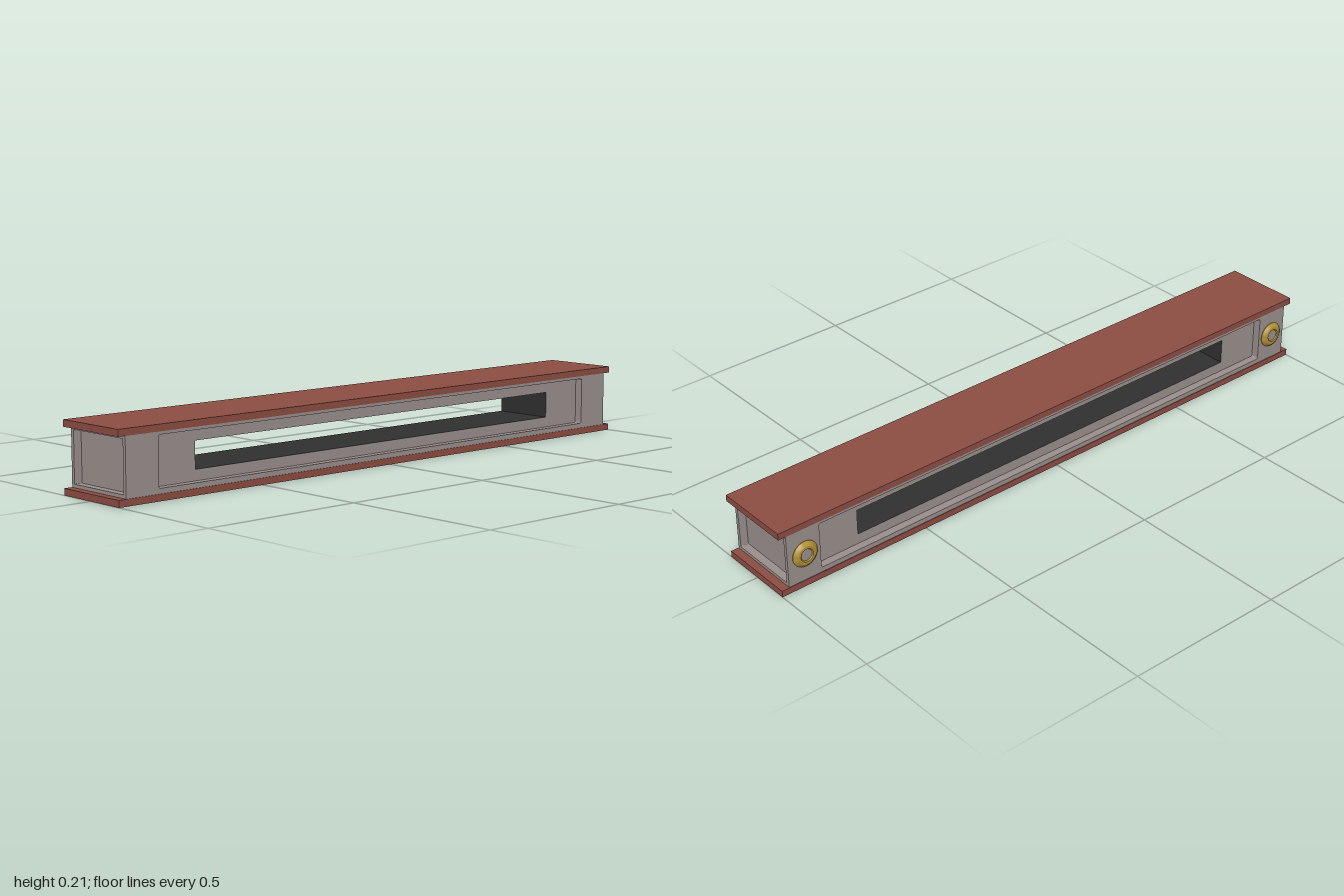
import * as THREE from 'three';
import { toCreasedNormals } from 'three/addons/utils/BufferGeometryUtils.js';

const mat = (name, color) => new THREE.MeshStandardMaterial({ name, color });

// Rectangle path with optionally rounded corners
function rect(path, x0, x1, y0, y1, r = 0) {
  if (!r) {
    path.moveTo(x0, y0).lineTo(x1, y0).lineTo(x1, y1).lineTo(x0, y1).closePath();
    return path;
  }
  path.moveTo(x0 + r, y0).lineTo(x1 - r, y0).quadraticCurveTo(x1, y0, x1, y0 + r);
  path.lineTo(x1, y1 - r).quadraticCurveTo(x1, y1, x1 - r, y1);
  path.lineTo(x0 + r, y1).quadraticCurveTo(x0, y1, x0, y1 - r);
  path.lineTo(x0, y0 + r).quadraticCurveTo(x0, y0, x0 + r, y0);
  return path;
}

// Flat frame: outer rectangle with a rectangular opening, from depth a to b
function frame(outer, hole, a, b, r = 0) {
  const shape = rect(new THREE.Shape(), ...outer);
  shape.holes.push(rect(new THREE.Path(), ...hole, r));
  const geo = new THREE.ExtrudeGeometry(shape, { depth: b - a, bevelEnabled: false, curveSegments: 4 });
  return geo.translate(0, 0, a);
}

export function createModel() {
  const group = new THREE.Group();
  const red = mat('red paint', 0x8b4c42);
  const grey = mat('warm grey', 0x988e8b);
  const dark = mat('dark lining', 0x2f2f2f);
  const brass = mat('brass', 0xb08f35);

  const add = (name, geo, material) => {
    const mesh = new THREE.Mesh(geo, material);
    mesh.name = name;
    group.add(mesh);
    return mesh;
  };

  const x0 = -0.118, x1 = 0.126, y0 = 0.02, y1 = 0.19;
  const inset = 0.025, bodyZ = 0.975, coreZ = bodyZ - inset;

  // Top and bottom boards
  for (const [name, y] of [['bottomBoard', 0.01], ['topBoard', 0.2]]) {
    add(name, new THREE.BoxGeometry(0.248, 0.02, 2).translate(0.004, y, 0), red);
  }

  // Core with the long slot running right through, lined in a dark colour
  const slot = [-0.72, 0.72, 0.067, 0.147];
  const cut = [-0.722, 0.722, 0.065, 0.149];
  const inner = [x0 + inset, x1 - inset];
  add('core', frame([-coreZ, coreZ, y0, y1], cut, ...inner).rotateY(Math.PI / 2), grey);
  add('slotLining', frame(cut, slot, ...inner).rotateY(Math.PI / 2), [grey, dark]);

  // Raised frames on the two long sides
  const sideHole = [-0.865, 0.865, 0.035, 0.181];
  for (const [name, a, b] of [['rightFrame', x0, inner[0]], ['leftFrame', inner[1], x1]]) {
    add(name, frame([-coreZ, coreZ, y0, y1], sideHole, a, b, 0.006).rotateY(Math.PI / 2), grey);
  }

  // Raised frames on the two ends
  const endHole = [-0.107, 0.115, 0.03, 0.181];
  for (const [name, a, b] of [['frontFrame', coreZ, bodyZ], ['backFrame', -bodyZ, -coreZ]]) {
    add(name, frame([x0, x1, y0, y1], endHole, a, b, 0.003), grey);
  }

  // Brass studs on one long side, each with a grey centre
  const profile = [[0.041, 0], [0.041, 0.002], [0.037, 0.007], [0.029, 0.012], [0.021, 0.012], [0.018, 0.009]]
    .map(([r, h]) => new THREE.Vector2(r, h));
  const ring = toCreasedNormals(new THREE.LatheGeometry(profile, 32).rotateZ(Math.PI / 2), 0.5);
  const disc = new THREE.CylinderGeometry(0.018, 0.018, 0.009, 32).translate(0, 0.0045, 0).rotateZ(Math.PI / 2);
  for (const [name, z] of [['frontStud', 0.917], ['backStud', -0.917]]) {
    add(name, ring, brass).position.set(x0, 0.107, z);
    add(name + 'Centre', disc, grey).position.set(x0, 0.107, z);
  }

  return group;
}
